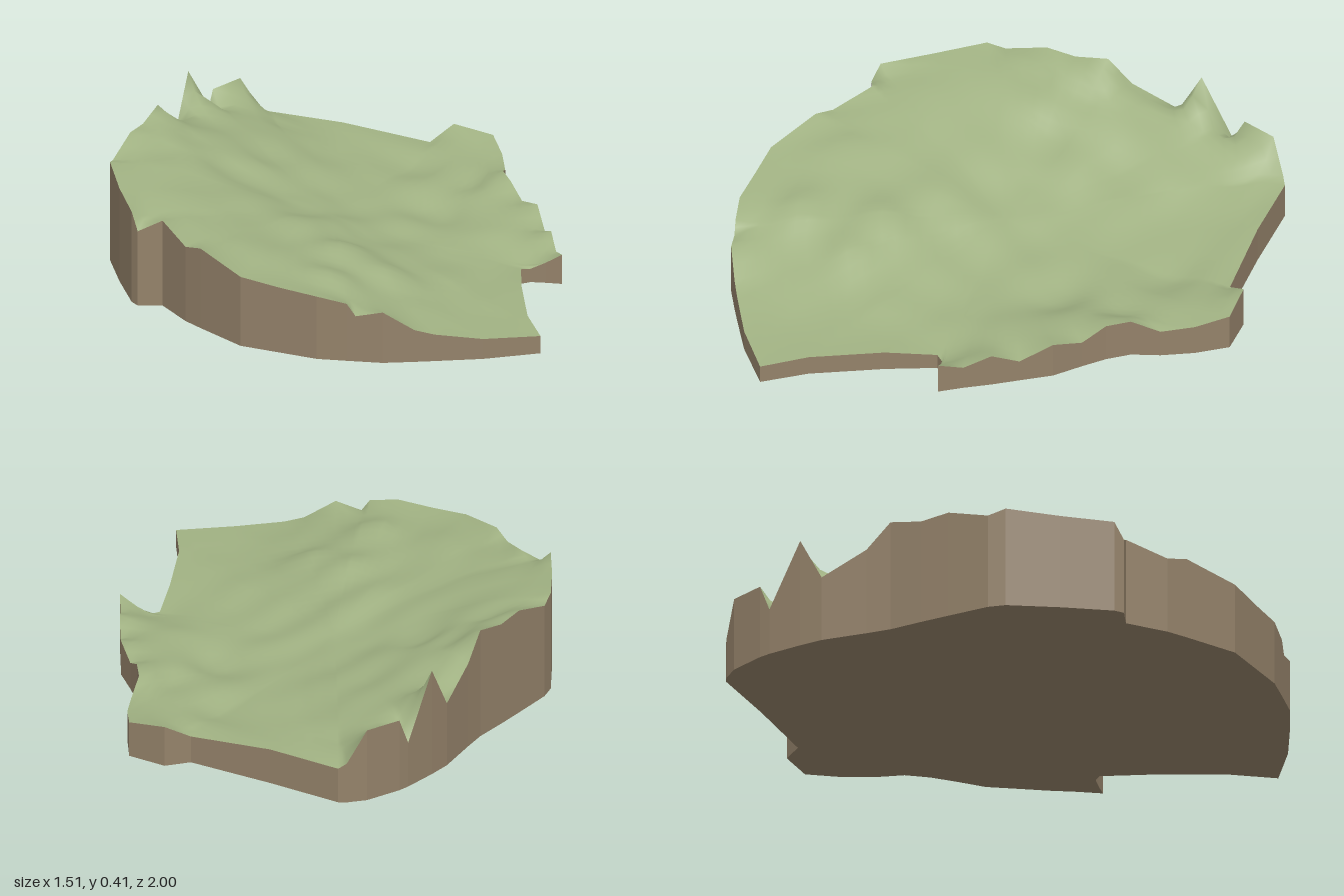
import * as THREE from 'three';

// Rim of the terrain, clockwise from the back: x, z, height
const RIM = [
  [-0.07, -1, 0.15], [-0.04, -1, 0.13], [0.2, -0.855, 0.13], [0.48, -0.7, 0.1],
  [0.57, -0.73, 0.15], [0.695, -0.655, 0.13], [0.705, -0.53, 0.11], [0.695, -0.41, 0.1],
  [0.67, -0.31, 0.14], [0.68, -0.22, 0.14], [0.705, -0.13, 0.1], [0.74, -0.02, 0.13],
  [0.745, 0.1, 0.08], [0.75, 0.2, 0.12], [0.75, 0.3, 0.085], [0.755, 0.39, 0.11],
  [0.7, 0.37, 0.075], [0.65, 0.355, 0.05], [0.615, 0.365, 0.055], [0.585, 0.545, 0.07],
  [0.56, 0.81, 0.07], [0.575, 0.985, 0.065], [0.37, 1, 0.075], [0.2, 0.99, 0.1],
  [0.13, 0.985, 0.12], [0.02, 0.975, 0.19], [-0.07, 0.945, 0.17], [-0.1, 0.935, 0.215],
  [-0.2, 0.9, 0.235], [-0.32, 0.82, 0.245], [-0.44, 0.74, 0.26], [-0.55, 0.56, 0.3],
  [-0.59, 0.49, 0.28], [-0.645, 0.34, 0.32], [-0.73, 0.325, 0.28], [-0.745, 0.29, 0.34],
  [-0.755, 0.1, 0.35], [-0.755, -0.09, 0.37], [-0.735, -0.15, 0.35], [-0.65, -0.28, 0.395],
  [-0.59, -0.37, 0.385], [-0.52, -0.47, 0.41], [-0.48, -0.55, 0.32], [-0.41, -0.7, 0.24],
  [-0.36, -0.77, 0.4], [-0.28, -0.87, 0.17], [-0.25, -0.9, 0.27], [-0.14, -0.98, 0.27],
];

// Hills and hollows inside the rim: x, z, height
const HILLS = [
  [-0.55, -0.2, 0.34], [-0.6, 0.1, 0.33], [-0.5, 0.3, 0.29], [-0.35, -0.6, 0.28],
  [-0.4, -0.35, 0.31], [-0.3, -0.2, 0.24], [-0.3, 0, 0.25], [-0.35, 0.5, 0.27],
  [-0.1, -0.7, 0.2], [-0.1, -0.4, 0.19], [-0.1, -0.1, 0.17], [-0.05, 0.2, 0.2],
  [0, 0.45, 0.21], [-0.1, 0.7, 0.23], [0.1, 0.55, 0.18], [0.15, 0.75, 0.13],
  [0.1, -0.6, 0.13], [0.1, -0.2, 0.12], [0.15, 0.15, 0.12], [0.3, 0.5, 0.1],
  [0.35, 0.8, 0.08], [0.35, -0.5, 0.09], [0.4, -0.1, 0.07], [0.4, 0.2, 0.08],
  [0.55, -0.3, 0.1], [0.58, 0.1, 0.1], [0, -0.85, 0.14],
];

// General fall of the land from the high side to the low side
const fall = (x) => 0.07 + 0.28 * (1 - THREE.MathUtils.smoothstep(x, -0.85, 0.45));

// Rim with a midpoint between each pair of points
const rim = RIM.flatMap((p, i) => {
  const q = RIM[(i + 1) % RIM.length];
  return [p, p.map((v, k) => (v + q[k]) / 2)];
});
const controls = [...rim, ...HILLS];

// The fall of the land plus distance-weighted offsets from the control points
function heightAt(x, z) {
  let sum = 0, total = 0;
  for (const [cx, cz, h] of controls) {
    const w = 1 / (Math.pow((x - cx) ** 2 + (z - cz) ** 2, 1.5) + 1e-5);
    sum += w * (h - fall(cx));
    total += w;
  }
  return fall(x) + sum / total;
}

function makeGeometry(positions, indices) {
  const g = new THREE.BufferGeometry();
  g.setAttribute('position', new THREE.Float32BufferAttribute(positions, 3));
  g.setIndex(indices);
  g.computeVertexNormals();
  return g;
}

// Rolling top: rings that shrink from the rim to the centre
function topGeometry() {
  const rings = 22, n = rim.length;
  const pos = [0, heightAt(0, 0), 0], idx = [];
  for (let r = 1; r <= rings; r++) {
    const t = r / rings;
    for (const [rx, rz, rh] of rim) {
      const x = rx * t, z = rz * t;
      const ripple = 0.008 * Math.sin(x * 17 + z * 5) * Math.sin(z * 19 - x * 4) * (1 - t * t);
      pos.push(x, r === rings ? rh : heightAt(x, z) + ripple, z);
    }
  }
  for (let i = 0; i < n; i++) {
    const j = (i + 1) % n;
    idx.push(0, 1 + j, 1 + i);
    for (let r = 0; r < rings - 1; r++) {
      const a = 1 + r * n, b = a + n;
      idx.push(a + i, a + j, b + i, a + j, b + j, b + i);
    }
  }
  return makeGeometry(pos, idx);
}

// Upright cut sides below the rim
function wallGeometry() {
  const pos = [], idx = [];
  rim.forEach(([x, z, h], i) => {
    const [x2, z2, h2] = rim[(i + 1) % rim.length];
    pos.push(x, h, z, x2, h2, z2, x, 0, z, x2, 0, z2);
    const a = i * 4;
    idx.push(a, a + 1, a + 2, a + 1, a + 3, a + 2);
  });
  return makeGeometry(pos, idx);
}

// Flat underside
function baseGeometry() {
  const pos = [0, 0, 0], idx = [];
  rim.forEach(([x, z], i) => {
    pos.push(x, 0, z);
    idx.push(0, 1 + i, 1 + ((i + 1) % rim.length));
  });
  return makeGeometry(pos, idx);
}

export function createModel() {
  const grass = new THREE.MeshStandardMaterial({ color: 0xa1b283 });
  grass.name = 'grass green';
  const earth = new THREE.MeshStandardMaterial({ color: 0x94826a });
  earth.name = 'earth brown';

  const group = new THREE.Group();
  group.name = 'terrain';
  const add = (name, geometry, material) => {
    const mesh = new THREE.Mesh(geometry, material);
    mesh.name = name;
    group.add(mesh);
  };
  add('grassTop', topGeometry(), grass);
  add('earthWall', wallGeometry(), earth);
  add('earthBase', baseGeometry(), earth);
  return group;
}
